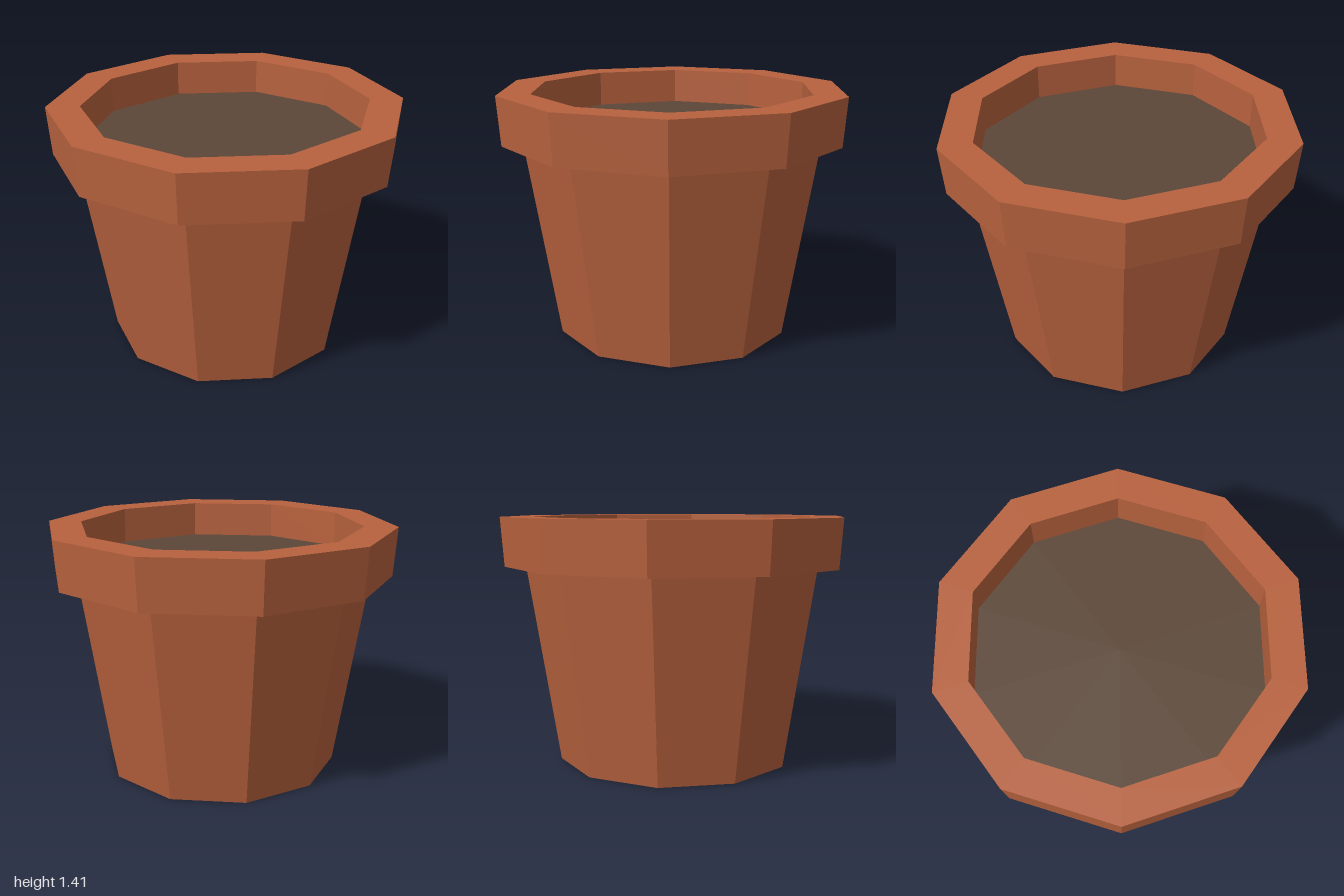
import * as THREE from 'three';

const SIDES = 10;

// Ten-sided turned shell; profile runs up the outside, with a corner on +x
function turned(name, profile, material) {
  const points = profile.map(([r, y]) => new THREE.Vector2(r, y));
  const mesh = new THREE.Mesh(new THREE.LatheGeometry(points, SIDES, Math.PI / 2), material);
  mesh.name = name;
  return mesh;
}

export function createModel() {
  const terracotta = new THREE.MeshStandardMaterial({ color: 0xb8623e, flatShading: true });
  terracotta.name = 'terracotta';
  const earth = new THREE.MeshStandardMaterial({ color: 0x5c4738, flatShading: true });
  earth.name = 'earth';

  const pot = new THREE.Group();
  pot.name = 'flowerPot';

  // Tapered body with a closed base
  pot.add(turned('body', [[0, 0], [0.68, 0], [0.86, 1.135]], terracotta));

  // Overhanging rim: underside, outer wall, top and inner wall
  pot.add(turned('rim', [[0.86, 1.135], [0.98, 1.135], [1, 1.415], [0.81, 1.415], [0.81, 1.21]], terracotta));

  // Soil surface inside the rim
  const soil = new THREE.Mesh(new THREE.CircleGeometry(0.81, SIDES), earth);
  soil.name = 'soil';
  soil.rotation.x = -Math.PI / 2;
  soil.position.y = 1.21;
  pot.add(soil);

  return pot;
}
